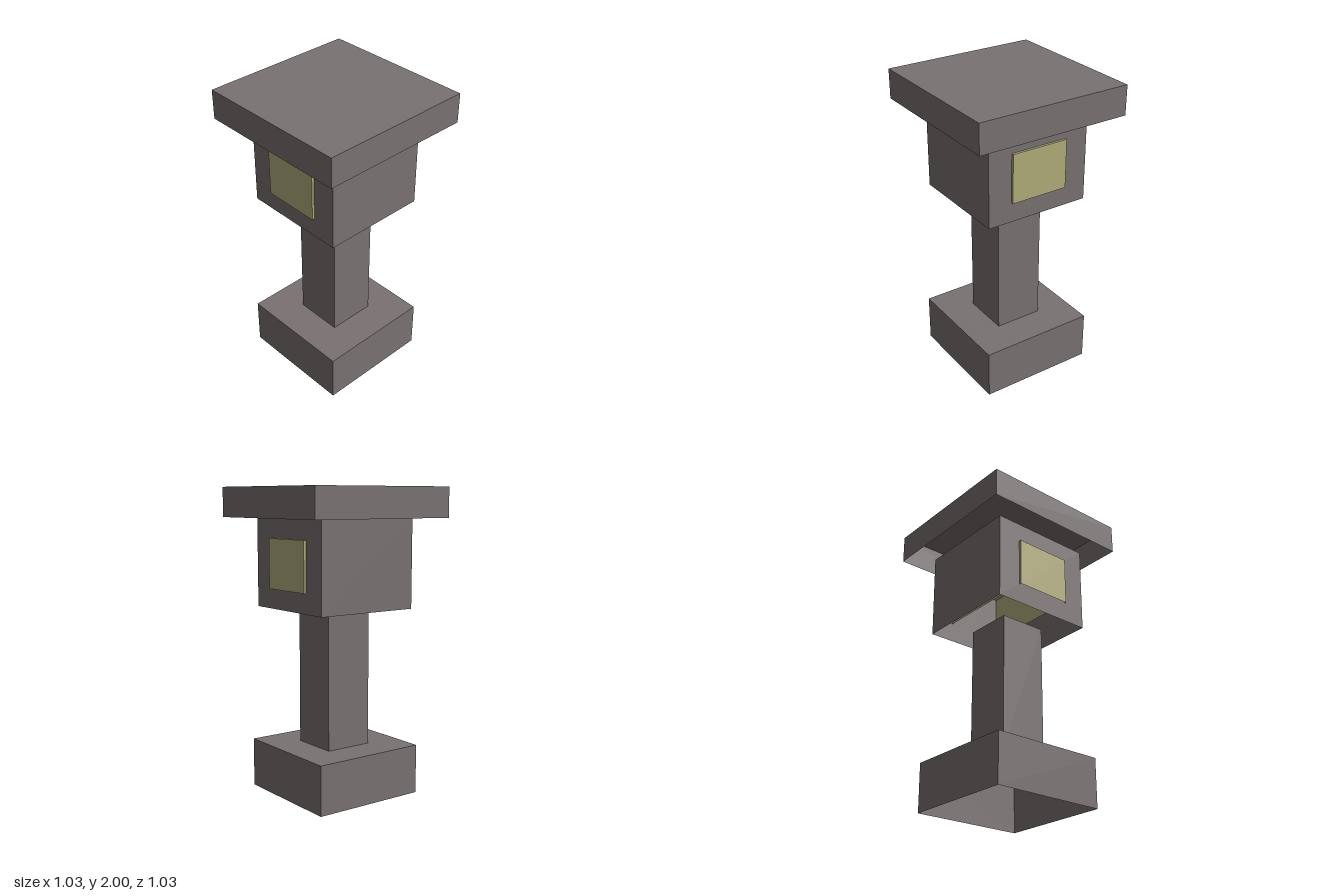
import * as THREE from 'three';

const stone = new THREE.MeshStandardMaterial({ name: 'grey stone', color: 0x7a7272, side: THREE.DoubleSide, flatShading: true });
const glow = new THREE.MeshStandardMaterial({ name: 'pale yellow lamp', color: 0xb3ae7b, side: THREE.DoubleSide, flatShading: true });

// Thin-walled box, open underneath; the fourth face (indices 18 to 23) is the bottom
function openBox(name, halfX, halfZ, bottom, top, material) {
  const geometry = new THREE.BoxGeometry(halfX * 2, top - bottom, halfZ * 2);
  geometry.setIndex([...geometry.index.array].filter((_, i) => i < 18 || i >= 24));
  geometry.clearGroups();
  const mesh = new THREE.Mesh(geometry, material);
  mesh.name = name;
  mesh.position.y = (bottom + top) / 2;
  return mesh;
}

export function createModel() {
  const model = new THREE.Group();
  model.name = 'lanternPost';
  model.add(
    openBox('base', 0.387, 0.387, 0, 0.323, stone),
    openBox('column', 0.161, 0.161, 0.323, 1.226, stone),
    openBox('lampHousing', 0.355, 0.355, 1.226, 1.806, stone),
    openBox('roofSlab', 0.516, 0.516, 1.806, 2, stone),
    // Lamp core runs through the housing and shows at front and back
    openBox('lampCore', 0.194, 0.371, 1.355, 1.677, glow)
  );
  return model;
}
